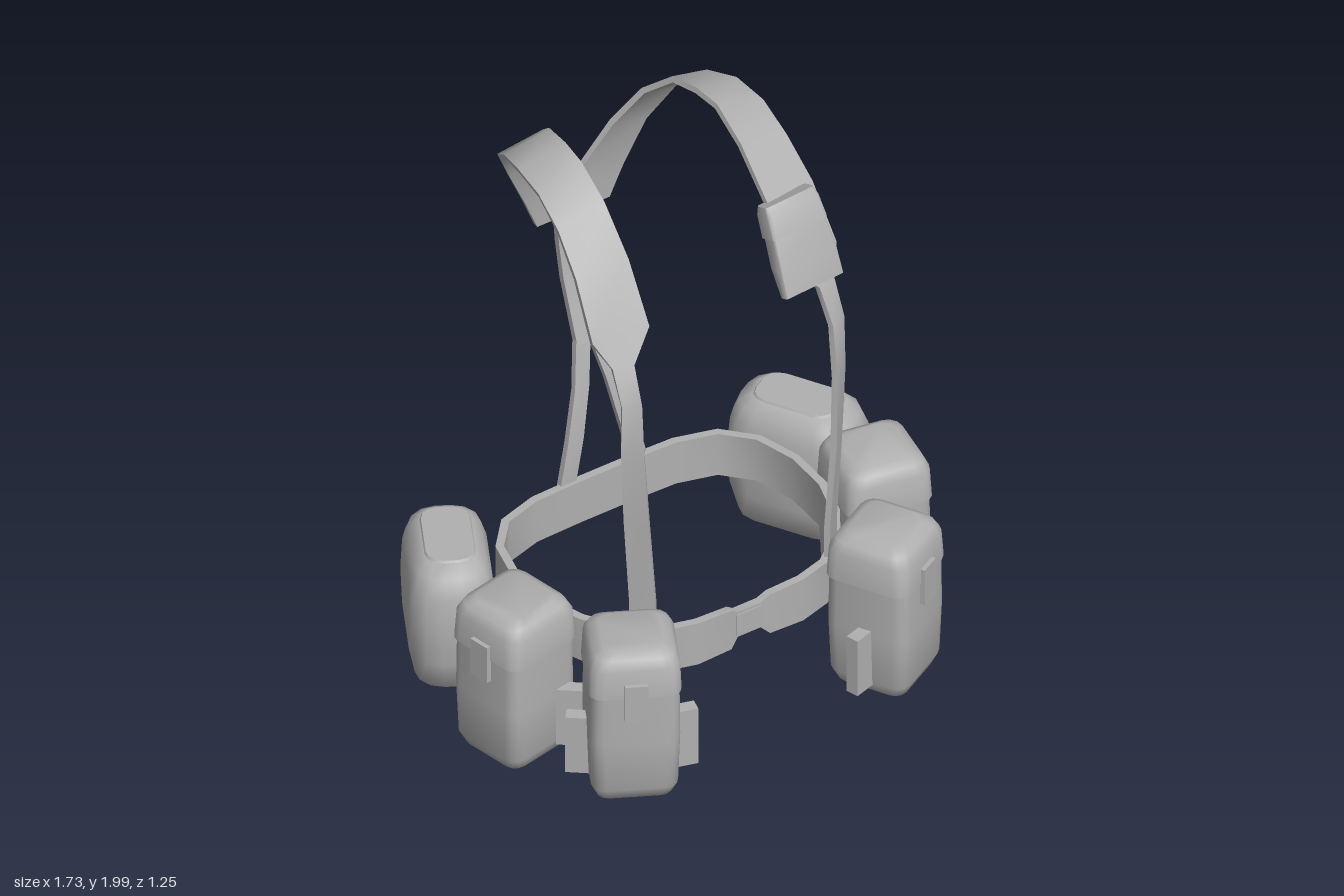
import * as THREE from 'three';
import { toCreasedNormals } from 'three/addons/utils/BufferGeometryUtils.js';

const grey = new THREE.MeshStandardMaterial({ color: 0xb0b0b0 });
grey.name = 'webbing grey';

function add(parent, name, geometry, x = 0, y = 0, z = 0) {
  const mesh = new THREE.Mesh(geometry, grey);
  mesh.name = name;
  mesh.position.set(x, y, z);
  parent.add(mesh);
  return mesh;
}

function build(positions, index, crease) {
  const g = new THREE.BufferGeometry();
  g.setAttribute('position', new THREE.Float32BufferAttribute(positions, 3));
  g.setIndex(index);
  return toCreasedNormals(g, crease);
}

// Flat strap through stations [edgeA xyz, edgeB xyz], with a real thickness
function strap(stations, side = 1, thick = 0.02, closed = false) {
  const st = stations.map(s => [
    new THREE.Vector3(s[0] * side, s[1], s[2]), new THREE.Vector3(s[3] * side, s[4], s[5])]);
  const n = st.length, pos = [], idx = [];
  const mid = i => st[i][0].clone().add(st[i][1]);
  st.forEach(([a, b], i) => {
    const next = closed ? (i + 1) % n : Math.min(i + 1, n - 1);
    const prev = closed ? (i + n - 1) % n : Math.max(i - 1, 0);
    const t = mid(next).sub(mid(prev));
    const nn = t.cross(b.clone().sub(a)).normalize().multiplyScalar(thick / 2);
    for (const [p, s] of [[a, 1], [b, 1], [b, -1], [a, -1]]) {
      pos.push(...p.clone().addScaledVector(nn, s).toArray());
    }
  });
  for (let i = 0; i < (closed ? n : n - 1); i++) {
    const u = i * 4, v = ((i + 1) % n) * 4;
    for (let k = 0; k < 4; k++) {
      const l = (k + 1) % 4;
      idx.push(u + k, v + k, u + l, u + l, v + k, v + l);
    }
  }
  if (!closed) {
    const e = (n - 1) * 4;
    idx.push(0, 1, 2, 0, 2, 3, e, e + 2, e + 1, e, e + 3, e + 2);
  }
  return build(pos, idx, 0.9);
}

// Stack of rounded rectangles [y, halfWidth, halfDepth, cornerRadius], capped
function loft(rings, crease = 0.8) {
  const pos = [], idx = [], C = 4, N = C * 4;
  for (const [y, w, d, r] of rings) {
    for (let k = 0; k < N; k++) {
      const q = Math.floor(k / C);
      const a = (q + (k % C) / (C - 1)) * Math.PI / 2;
      const sx = q === 0 || q === 3 ? 1 : -1, sz = q < 2 ? 1 : -1;
      pos.push(sx * (w - r) + r * Math.cos(a), y, sz * (d - r) + r * Math.sin(a));
    }
  }
  for (let i = 0; i < rings.length - 1; i++) {
    for (let k = 0; k < N; k++) {
      const a = i * N + k, b = i * N + (k + 1) % N;
      idx.push(a, a + N, b, b, a + N, b + N);
    }
  }
  const top = (rings.length - 1) * N;
  for (let k = 1; k < N - 1; k++) idx.push(0, k, k + 1, top, top + k + 1, top + k);
  return build(pos, idx, crease);
}

// Ammunition-style pouch with lid, clasp and side tabs
function pouch(name, x, z, yaw, side, tabs) {
  const g = new THREE.Group();
  g.name = name;
  g.position.set(x * side, 0, z);
  g.rotation.y = yaw * side;
  add(g, 'pouchBody', loft([
    [0.005, 0.1, 0.1, 0.03], [0.015, 0.122, 0.12, 0.04], [0.06, 0.14, 0.14, 0.045],
    [0.25, 0.146, 0.146, 0.045], [0.45, 0.144, 0.144, 0.045]]));
  add(g, 'pouchLid', loft([
    [0.435, 0.15, 0.15, 0.045], [0.54, 0.146, 0.146, 0.05],
    [0.575, 0.13, 0.13, 0.05], [0.592, 0.1, 0.1, 0.04]]));
  add(g, 'clasp', new THREE.BoxGeometry(0.075, 0.14, 0.025), 0, 0.42, 0.15);
  for (const [tx, tz, turn] of tabs) {
    const tab = add(g, 'sideTab', new THREE.BoxGeometry(0.1, 0.22, 0.045), tx * side, 0.16, tz);
    tab.rotation.y = turn * side;
  }
  return g;
}

function canteen(x, z, yaw, side) {
  const g = new THREE.Group();
  g.name = 'canteen';
  g.position.set(x * side, 0, z);
  g.rotation.y = yaw * side;
  add(g, 'canteenCover', loft([
    [0.08, 0.175, 0.095, 0.07], [0.095, 0.195, 0.115, 0.09], [0.2, 0.22, 0.135, 0.1],
    [0.34, 0.228, 0.14, 0.1], [0.46, 0.218, 0.135, 0.1], [0.525, 0.195, 0.115, 0.09],
    [0.555, 0.15, 0.085, 0.06]]));
  add(g, 'canteenLid', loft([[0.55, 0.15, 0.085, 0.06], [0.562, 0.14, 0.078, 0.055]]));
  return g;
}

export function createModel() {
  const model = new THREE.Group();
  model.name = 'loadBearingHarness';

  // Waist belt: half outline [x, z, bottom, top], mirrored into a loop
  const half = [
    [0.045, 0.375, 0.34, 0.44], [0.075, 0.385, 0.31, 0.465], [0.2, 0.385, 0.305, 0.47],
    [0.31, 0.355, 0.305, 0.47], [0.41, 0.28, 0.305, 0.47], [0.49, 0.16, 0.305, 0.47],
    [0.535, 0.02, 0.305, 0.47], [0.54, -0.14, 0.305, 0.47], [0.5, -0.29, 0.305, 0.47],
    [0.41, -0.39, 0.305, 0.47], [0.27, -0.43, 0.305, 0.47], [0.1, -0.435, 0.305, 0.47]];
  const loop = [...half, ...half.slice().reverse().map(([x, z, b, t]) => [-x, z, b, t])];
  add(model, 'belt', strap(loop.map(([x, z, b, t]) => [x, t, z, x, b, z]), 1, 0.028, true));
  add(model, 'buckle', new THREE.BoxGeometry(0.1, 0.08, 0.035), 0, 0.39, 0.375);

  // Shoulder strap from the front of the belt, over the shoulder, to the back yoke
  const shoulder = [
    [0.395, 0.38, 0.285, 0.33, 0.38, 0.345],
    [0.395, 0.58, 0.29, 0.33, 0.58, 0.345],
    [0.415, 0.9, 0.29, 0.355, 0.9, 0.345],
    [0.428, 1.17, 0.29, 0.367, 1.17, 0.335],
    [0.425, 1.37, 0.29, 0.365, 1.37, 0.315],
    [0.425, 1.49, 0.235, 0.355, 1.49, 0.255],
    [0.47, 1.58, 0.185, 0.268, 1.58, 0.21],
    [0.455, 1.76, 0.07, 0.265, 1.77, 0.09],
    [0.44, 1.87, -0.05, 0.262, 1.91, -0.05],
    [0.432, 1.935, -0.17, 0.26, 1.985, -0.18],
    [0.42, 1.945, -0.3, 0.25, 1.99, -0.28],
    [0.39, 1.91, -0.42, 0.235, 1.97, -0.39],
    [0.34, 1.82, -0.53, 0.19, 1.88, -0.49],
    [0.265, 1.68, -0.59, 0.115, 1.74, -0.56],
    [0.19, 1.52, -0.608, 0.035, 1.6, -0.595],
    [0.165, 1.46, -0.612, 0, 1.54, -0.605],
    [0.14, 1.4, -0.615, 0, 1.4, -0.615]];
  // Lower back strap, splitting from the centre strap down to the belt
  const lowerBack = [
    [0.055, 0.96, -0.52, 0, 0.95, -0.52],
    [0.088, 0.8, -0.478, 0.033, 0.8, -0.478],
    [0.13, 0.62, -0.455, 0.07, 0.62, -0.455],
    [0.165, 0.47, -0.445, 0.105, 0.47, -0.445],
    [0.185, 0.33, -0.45, 0.125, 0.33, -0.45]];

  for (const side of [1, -1]) {
    add(model, 'shoulderStrap', strap(shoulder, side));
    add(model, 'lowerBackStrap', strap(lowerBack, side, 0.022));
    model.add(pouch('frontPouch', 0.49, 0.44, 0.49, side, [[0.16, 0, 0.2], [-0.16, 0, -0.2]]));
    model.add(pouch('sidePouch', 0.695, 0.08, 1.38, side, [[0.16, -0.01, 0.2], [-0.17, -0.09, -0.7]]));
    model.add(canteen(0.667, side > 0 ? -0.305 : -0.34, 2.08, side));
  }

  // Centre back strap
  add(model, 'centreBackStrap', strap([[1.42, 0.068, -0.612], [1.3, 0.064, -0.605],
    [1.17, 0.06, -0.585], [1.05, 0.056, -0.55], [0.94, 0.054, -0.515]]
    .map(([y, w, z]) => [w, y, z, -w, y, z]), 1, 0.024));

  // Small pouch on the left shoulder strap, wider at the bottom, with a flap
  const kit = new THREE.Group();
  kit.name = 'shoulderPouch';
  kit.position.set(0.338, 1.635, 0.175);
  kit.rotation.set(-0.43, 0, 0.05);
  add(kit, 'shoulderPouchBody', loft([[-0.155, 0.112, 0.02, 0.008], [-0.05, 0.11, 0.034, 0.01],
    [0.06, 0.1, 0.034, 0.01], [0.15, 0.092, 0.026, 0.01]]));
  add(kit, 'shoulderPouchFlap', loft([[0.05, 0.106, 0.04, 0.01], [0.13, 0.1, 0.04, 0.012],
    [0.158, 0.094, 0.03, 0.012]]));
  model.add(kit);

  return model;
}
